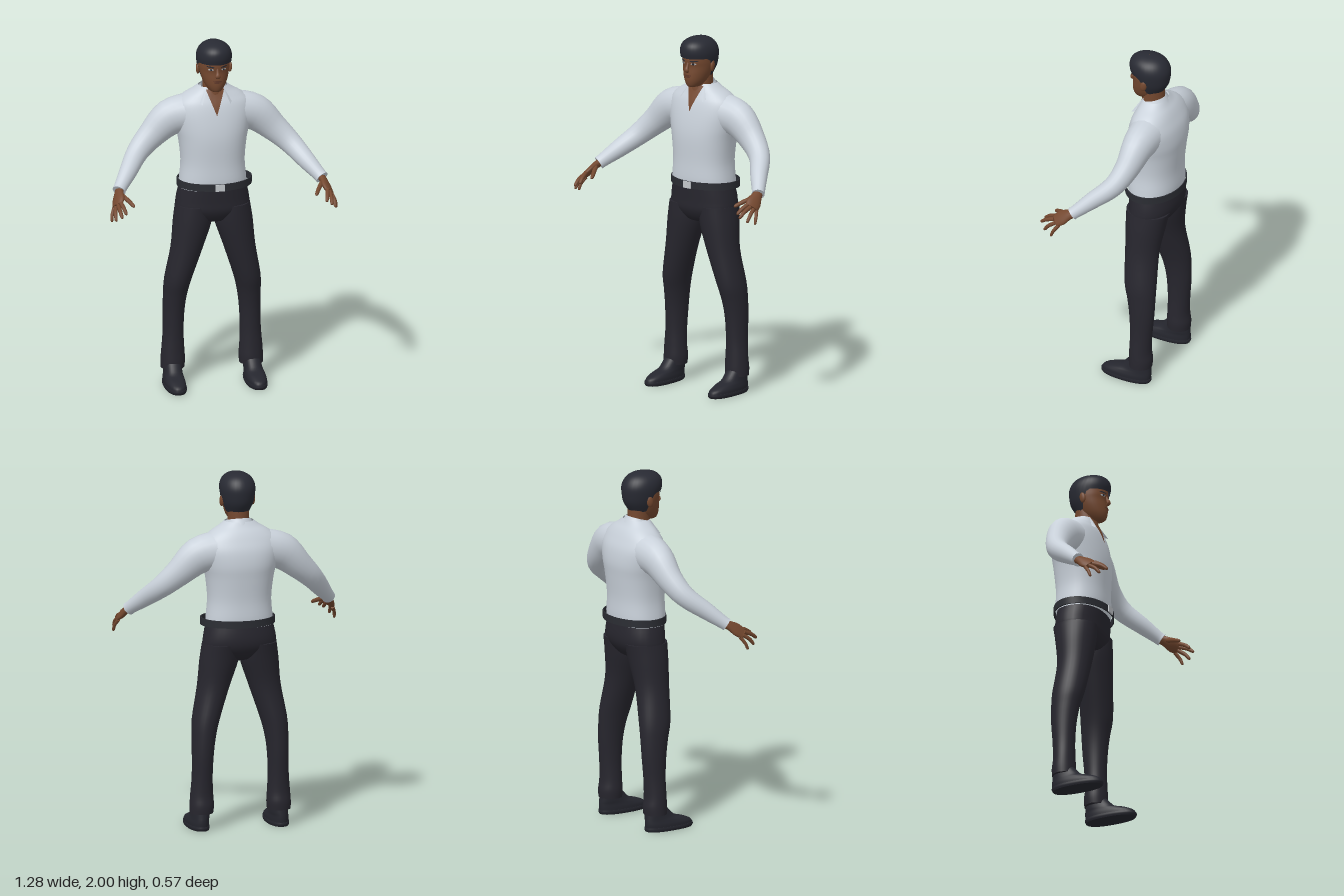
import * as THREE from 'three';
import { toCreasedNormals } from 'three/addons/utils/BufferGeometryUtils.js';

const material = (name, color, side = THREE.FrontSide) => {
  const m = new THREE.MeshStandardMaterial({ color, side });
  m.name = name;
  return m;
};

// Catmull-Rom interpolation of key rows at position t (in key steps)
function sample(keys, t) {
  const last = keys.length - 1, i = Math.min(Math.floor(t), last - 1), f = t - i;
  const [a, b, c, d] = [i - 1, i, i + 1, i + 2].map(k => keys[Math.max(0, Math.min(last, k))]);
  return b.map((_, k) => b[k] + 0.5 * f * (c[k] - a[k] + f * (2 * a[k] - 5 * b[k] + 4 * c[k] - d[k]
    + f * (3 * (b[k] - c[k]) + d[k] - a[k]))));
}

// Closed skin of rows x n points; point(s, angle) returns a Vector3, ends optionally capped
function skin(rows, n, point, caps = true) {
  const pos = [], idx = [];
  for (let r = 0; r <= rows; r++)
    for (let k = 0; k < n; k++) pos.push(...point(r / rows, k / n * Math.PI * 2).toArray());
  for (let r = 0; r < rows; r++)
    for (let k = 0; k < n; k++) {
      const p = r * n + k, q = r * n + (k + 1) % n;
      idx.push(p, p + n, q, q, p + n, q + n);
    }
  if (caps) for (const end of [0, 1]) {
    const base = pos.length / 3, mid = new THREE.Vector3();
    for (let k = 0; k < n; k++) {
      const p = point(end, k / n * Math.PI * 2);
      mid.addScaledVector(p, 1 / n);
      pos.push(...p.toArray());
    }
    pos.push(...mid.toArray());
    for (let k = 0; k < n; k++) {
      const p = base + k, q = base + (k + 1) % n;
      idx.push(...(end ? [q, p, base + n] : [p, q, base + n]));
    }
  }
  const g = new THREE.BufferGeometry();
  g.setAttribute('position', new THREE.Float32BufferAttribute(pos, 3));
  g.setIndex(idx);
  g.computeVertexNormals();
  return g;
}

// Upright loft; keys are [y, centre x, half width, front z, back z]
function column(keys, { n = 32, power = 1, caps = true, start = () => 0 } = {}) {
  const end = keys.length - 1, bulge = v => Math.sign(v) * Math.abs(v) ** power;
  return skin(end * 4, n, (s, a) => {
    const t0 = start(Math.sin(a));
    const [y, cx, rx, zf, zb] = sample(keys, t0 + (end - t0) * s);
    return new THREE.Vector3(cx + rx * bulge(Math.cos(a)), y, (zf + zb) / 2 + (zf - zb) / 2 * bulge(Math.sin(a)));
  }, caps);
}

// Loft along a path; keys are [x, y, z, radius along axis, other radius]
function limb(keys, axis = [0, 0, 1], n = 20) {
  const end = keys.length - 1;
  return skin(end * 4, n, (s, a) => {
    const t = s * end, k = sample(keys, t);
    const dir = new THREE.Vector3(...sample(keys, Math.min(end, t + 0.05)))
      .sub(new THREE.Vector3(...sample(keys, Math.max(0, t - 0.05)))).normalize();
    const u = new THREE.Vector3(...axis);
    u.addScaledVector(dir, -u.dot(dir)).normalize();
    const v = u.clone().cross(dir);
    return new THREE.Vector3(k[0], k[1], k[2])
      .addScaledVector(u, k[3] * Math.cos(a)).addScaledVector(v, k[4] * Math.sin(a));
  });
}

// Open grid surface; point(u, v) returns [x, y, z]
function sheet(nu, nv, point) {
  const g = new THREE.PlaneGeometry(1, 1, nu, nv), p = g.attributes.position;
  for (let i = 0; i < p.count; i++) p.setXYZ(i, ...point(p.getX(i) + 0.5, p.getY(i) + 0.5));
  g.computeVertexNormals();
  return g;
}

// Thin patch laid on the front of a mesh
function patch(target, lift, outline) {
  const ray = new THREE.Raycaster();
  return sheet(8, 8, (u, v) => {
    const [x, y] = outline(u, v);
    ray.set(new THREE.Vector3(x, y, 2), new THREE.Vector3(0, 0, -1));
    const hit = ray.intersectObject(target)[0];
    return [x, y, (hit ? hit.point.z : -0.05) + lift];
  });
}
const oval = (cx, cy, rx, ry, tilt = 0) => (u, v) => {
  const h = 2 * u - 1;
  return [cx + rx * h, cy + tilt * h + ry * (2 * v - 1) * Math.sqrt(Math.max(0, 1 - h * h))];
};

export function createModel() {
  const model = new THREE.Group();
  const shirt = material('shirt white', 0xc9d1da, THREE.DoubleSide);
  const cloth = material('trouser black', 0x27262e);
  const hairColor = material('hair black', 0x282a33, THREE.DoubleSide);
  const skinColor = material('skin brown', 0x74482f);
  const lipColor = material('lip brown', 0x5f3829);
  const shoeColor = material('shoe black', 0x25262e);
  const beltColor = material('belt black', 0x2b2d33);
  const metal = material('buckle silver', 0xc4c8cc);
  const eyeColor = material('eye white', 0xb9bcc0);
  const add = (name, geometry, mat) => {
    const m = new THREE.Mesh(geometry, mat);
    m.name = name;
    model.add(m);
    return m;
  };

  // Shirt body, with the skin showing in the open neck
  const torso = add('shirtBody', column([
    [1.15, 0, 0.19, 0.008, -0.262], [1.2, 0, 0.186, 0.016, -0.268], [1.3, 0, 0.178, 0.015, -0.267],
    [1.42, 0, 0.19, 0.018, -0.278], [1.5, 0, 0.208, 0.012, -0.285], [1.58, 0, 0.222, -0.003, -0.275],
    [1.64, 0, 0.208, -0.02, -0.25], [1.68, 0, 0.165, -0.038, -0.228], [1.71, 0, 0.115, -0.05, -0.205],
    [1.735, 0, 0.08, -0.058, -0.188]], { n: 40, power: 0.88, caps: false }), shirt);
  add('openNeck', patch(torso, 0.005, (u, v) => [(2 * u - 1) * 0.052 * v, 1.585 + 0.14 * v]), skinColor);
  add('collar', sheet(32, 4, (u, v) => {
    const a = (u - 0.5) * 1.5 * Math.PI, front = Math.abs(2 * u - 1) ** 4, out = 1 - v;
    const r = 0.07 + out * 0.026;
    return [Math.sin(a) * r + out * front * Math.sign(a) * 0.012,
      1.735 + 0.02 * Math.cos(a) - out * (0.045 + 0.03 * front),
      -0.108 - Math.cos(a) * r + out * front * 0.028];
  }), shirt);

  // Neck and head
  add('neck', column([[1.6, 0, 0.07, -0.03, -0.17], [1.7, 0, 0.06, -0.04, -0.172],
    [1.79, 0, 0.06, -0.055, -0.17]]), skinColor);
  const head = add('head', column([
    [1.722, 0, 0.02, -0.01, -0.07], [1.73, 0, 0.036, 0.006, -0.1], [1.76, 0, 0.058, 0.015, -0.135],
    [1.8, 0, 0.074, 0.015, -0.16], [1.84, 0, 0.083, 0.012, -0.175], [1.875, 0, 0.086, 0.017, -0.183],
    [1.93, 0, 0.084, 0.008, -0.183], [1.97, 0, 0.05, -0.03, -0.14]]), skinColor);
  add('nose', limb([[0, 1.872, 0.008, 0.007, 0.006], [0, 1.843, 0.018, 0.009, 0.009],
    [0, 1.823, 0.026, 0.015, 0.011], [0, 1.811, 0.016, 0.009, 0.005]], [1, 0, 0], 12), skinColor);
  add('upperLip', patch(head, 0.004, oval(0, 1.792, 0.027, 0.004)), lipColor);
  add('lowerLip', patch(head, 0.005, oval(0, 1.784, 0.021, 0.004)), lipColor);
  for (const s of [-1, 1]) {
    add('eye', patch(head, 0.003, oval(s * 0.036, 1.86, 0.015, 0.006)), eyeColor);
    add('iris', patch(head, 0.005, oval(s * 0.036, 1.86, 0.006, 0.006)), hairColor);
    add('eyebrow', patch(head, 0.005, oval(s * 0.038, 1.876, 0.022, 0.004, s * 0.002)), hairColor);
    const ear = add('ear', new THREE.SphereGeometry(1, 16, 12), skinColor);
    ear.scale.set(0.011, 0.032, 0.019);
    ear.position.set(s * 0.09, 1.842, -0.092);
    ear.rotation.set(-0.15, s * 0.3, 0);
  }

  // Hair shell: low at the nape, rising over the ears to the fringe
  add('hair', column([
    [1.78, 0, 0.066, 0.0, -0.165], [1.83, 0, 0.086, 0.015, -0.195], [1.88, 0, 0.096, 0.024, -0.205],
    [1.92, 0, 0.099, 0.033, -0.205], [1.955, 0, 0.089, 0.028, -0.19], [1.98, 0, 0.067, 0.006, -0.165],
    [1.995, 0, 0.036, -0.03, -0.13], [2, 0, 0.002, -0.08, -0.084]],
  { caps: false, start: f => 2.2 * THREE.MathUtils.smoothstep(f, -0.3, 0.35) }), hairColor);

  // Belt standing off the waist
  const band = new THREE.LatheGeometry([[0.965, -0.02], [1, -0.02], [1, 0.02], [0.965, 0.02], [0.965, -0.02]]
    .map(p => new THREE.Vector2(...p)), 48);
  const belt = add('belt', toCreasedNormals(band.scale(0.21, 1, 0.158), 0.6), beltColor);
  belt.position.set(0.01, 1.175, -0.128);
  add('buckle', new THREE.BoxGeometry(0.052, 0.038, 0.009), metal).position.set(0.01, 1.175, 0.031);

  // Trouser seat
  add('trouserSeat', column([
    [0.945, 0, 0.03, -0.08, -0.15], [0.965, 0, 0.12, -0.035, -0.205], [1.02, 0, 0.2, -0.002, -0.25],
    [1.08, 0, 0.204, 0.003, -0.265], [1.165, 0, 0.186, 0.008, -0.257]], { power: 0.9 }), cloth);

  for (const s of [-1, 1]) {
    // Trouser leg with a slightly flared hem
    add('trouserLeg', column([
      [0.095, s * 0.222, 0.066, -0.08, -0.212], [0.14, s * 0.22, 0.068, -0.08, -0.215],
      [0.2, s * 0.22, 0.064, -0.083, -0.208], [0.3, s * 0.218, 0.058, -0.085, -0.212],
      [0.42, s * 0.215, 0.06, -0.078, -0.222], [0.52, s * 0.208, 0.066, -0.062, -0.225],
      [0.62, s * 0.193, 0.076, -0.038, -0.224], [0.8, s * 0.147, 0.09, -0.02, -0.214],
      [0.95, s * 0.115, 0.108, -0.008, -0.235], [1.05, s * 0.104, 0.104, -0.005, -0.255]]), cloth);

    // Shoe on a thin sole
    add('sole', column([[0, s * 0.228, 0.056, 0.085, -0.208], [0.012, s * 0.228, 0.06, 0.092, -0.214],
      [0.024, s * 0.228, 0.059, 0.091, -0.213]], { power: 0.85 }), shoeColor);
    add('shoe', column([[0.02, s * 0.228, 0.057, 0.088, -0.21], [0.04, s * 0.228, 0.057, 0.078, -0.212],
      [0.06, s * 0.227, 0.053, 0.035, -0.212], [0.08, s * 0.225, 0.05, -0.03, -0.21],
      [0.13, s * 0.223, 0.047, -0.08, -0.205]], { power: 0.88 }), shoeColor);

    // Sleeve with bent elbow
    add('sleeve', limb([
      [s * 0.13, 1.575, -0.14, 0.105, 0.108], [s * 0.24, 1.548, -0.14, 0.088, 0.103],
      [s * 0.345, 1.458, -0.128, 0.068, 0.078], [s * 0.432, 1.375, -0.088, 0.057, 0.062],
      [s * 0.505, 1.295, 0.005, 0.047, 0.05], [s * 0.56, 1.235, 0.075, 0.036, 0.038],
      [s * 0.573, 1.22, 0.094, 0.036, 0.038]]), shirt);

    // Hand: palm, then fingers from thumb to little finger
    const across = [-s * 0.045, 0.04, 0.05];
    add('palm', limb([[s * 0.565, 1.228, 0.08, 0.026, 0.022], [s * 0.577, 1.212, 0.11, 0.03, 0.02],
      [s * 0.588, 1.185, 0.15, 0.043, 0.019], [s * 0.6, 1.162, 0.182, 0.037, 0.014]], across), skinColor);
    const fingers = [
      [[0.563, 1.205, 0.135], [0.535, 1.185, 0.185], [0.513, 1.165, 0.23], 0.012],
      [[0.583, 1.182, 0.195], [0.574, 1.162, 0.235], [0.565, 1.135, 0.268], 0.011],
      [[0.597, 1.168, 0.192], [0.596, 1.148, 0.242], [0.592, 1.12, 0.28], 0.011],
      [[0.608, 1.155, 0.177], [0.617, 1.128, 0.216], [0.619, 1.093, 0.245], 0.0105],
      [[0.614, 1.145, 0.157], [0.629, 1.112, 0.18], [0.634, 1.075, 0.195], 0.0095]];
    for (const [a, b, c, r] of fingers) {
      const at = (p, k) => [s * p[0], p[1], p[2], r * k, r * k];
      const near = b.map((v, i) => v + (c[i] - v) * 0.8);
      add('finger', limb([at(a, 1.1), at(b, 1), at(near, 0.8), at(c, 0.3)], across, 10), skinColor);
    }
  }
  return model;
}
